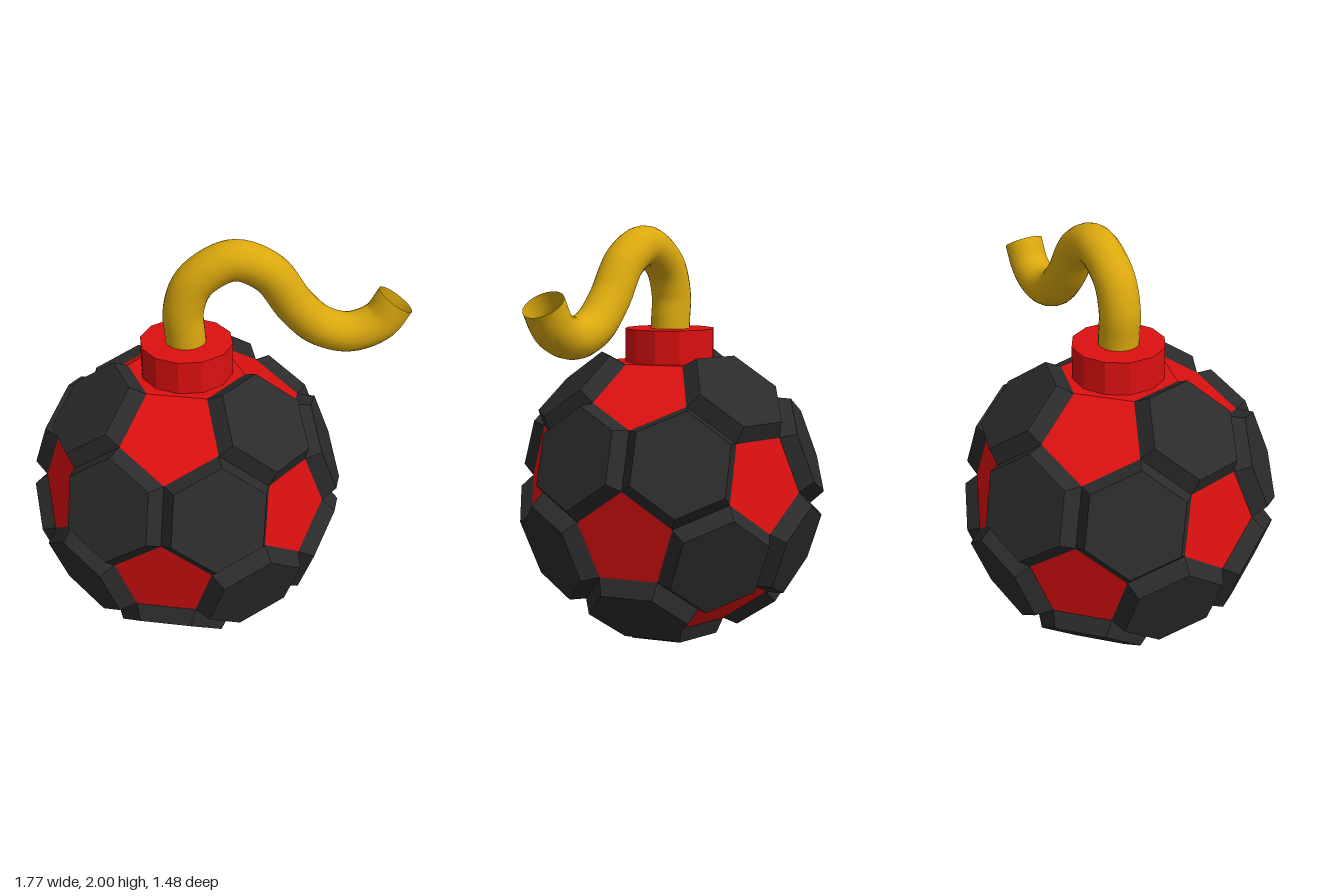
import * as THREE from 'three';

const EDGE = 0.28;          // edge of the truncated icosahedron
const RAISE = 0.08;         // how far the armour plates stand out
const INSET = 0.875;        // outer plate face relative to its base
const CENTER = new THREE.Vector3(-0.15, 0.715, 0);

const red = new THREE.MeshStandardMaterial({ color: 0xdd1010, flatShading: true });
const black = new THREE.MeshStandardMaterial({ color: 0x2b2b2b, flatShading: true });
const yellow = new THREE.MeshStandardMaterial({ color: 0xdaa80e, side: THREE.DoubleSide });

// Icosahedron corners with one face on top and one corner of it facing front
function icosahedronCorners() {
  const radius = 3 * EDGE * 0.95106;
  const points = [];
  for (let i = 0; i < 3; i++) {
    const turn = (i * 2 * Math.PI) / 3;
    const upper = new THREE.Vector3().setFromSphericalCoords(radius, THREE.MathUtils.degToRad(37.377), turn);
    const middle = new THREE.Vector3().setFromSphericalCoords(radius, THREE.MathUtils.degToRad(79.188), turn + Math.PI / 3);
    points.push(upper, middle, upper.clone().negate(), middle.clone().negate());
  }
  return points;
}

const centroid = (ring) => ring.reduce((sum, p) => sum.add(p), new THREE.Vector3()).divideScalar(ring.length);

// Order the corners counter-clockwise as seen from outside
function sortRing(ring) {
  const mid = centroid(ring);
  const normal = mid.clone().normalize();
  const u = ring[0].clone().sub(mid).normalize();
  const v = normal.clone().cross(u);
  const angle = (p) => {
    const d = p.clone().sub(mid);
    return Math.atan2(d.dot(v), d.dot(u));
  };
  return ring.map((p) => [angle(p), p]).sort((a, b) => a[0] - b[0]).map((e) => e[1]);
}

// Flat polygon, with sloping walls down to a base ring if one is given
function panelGeometry(face, base) {
  const positions = [];
  const triangle = (...corners) => corners.forEach((p) => positions.push(p.x, p.y, p.z));
  for (let i = 1; i < face.length - 1; i++) triangle(face[0], face[i], face[i + 1]);
  if (base) {
    base.forEach((p, i) => {
      const j = (i + 1) % base.length;
      triangle(p, base[j], face[j]);
      triangle(p, face[j], face[i]);
    });
  }
  const geometry = new THREE.BufferGeometry();
  geometry.setAttribute('position', new THREE.Float32BufferAttribute(positions, 3));
  geometry.computeVertexNormals();
  return geometry;
}

function addMesh(parent, name, geometry, material) {
  const mesh = new THREE.Mesh(geometry, material);
  mesh.name = name;
  parent.add(mesh);
  return mesh;
}

function createBall() {
  const ball = new THREE.Group();
  ball.name = 'ball';
  ball.position.copy(CENTER);
  const corners = icosahedronCorners();
  const near = (a, b) => a !== b && a.distanceTo(b) < 3.3 * EDGE;

  // Red pentagons, one at each cut-off corner
  for (const a of corners) {
    const ring = corners.filter((b) => near(a, b)).map((b) => a.clone().lerp(b, 1 / 3));
    addMesh(ball, 'pentagonPanel', panelGeometry(sortRing(ring)), red);
  }

  // Hexagons: raised black plates, except the flat red one under the cap
  corners.forEach((a, i) => corners.forEach((b, j) => corners.forEach((c, k) => {
    if (!(i < j && j < k && near(a, b) && near(b, c) && near(a, c))) return;
    const sides = [[a, b], [b, c], [c, a]];
    const base = sortRing(sides.flatMap(([p, q]) => [p.clone().lerp(q, 1 / 3), p.clone().lerp(q, 2 / 3)]));
    const mid = centroid(base);
    const normal = mid.clone().normalize();
    if (normal.y > 0.99) {
      addMesh(ball, 'topPanel', panelGeometry(base), red);
      return;
    }
    const face = base.map((p) => mid.clone().lerp(p, INSET).addScaledVector(normal, RAISE));
    addMesh(ball, 'hexagonPlate', panelGeometry(face, base), black);
  })));
  return ball;
}

function createFuse() {
  // Centre line of the S-curve as [x, y]; it swings back as it goes sideways
  const path = [
    [-0.145, 1.45], [-0.152, 1.55], [-0.158, 1.67], [-0.105, 1.81], [0.06, 1.905], [0.22, 1.835],
    [0.345, 1.66], [0.46, 1.55], [0.6, 1.51], [0.73, 1.56], [0.798, 1.665],
  ].map(([x, y]) => new THREE.Vector3(x, y, -(x - CENTER.x) * 0.272));
  return new THREE.TubeGeometry(new THREE.CatmullRomCurve3(path), 64, 0.095, 20, false);
}

export function createModel() {
  const model = new THREE.Group();
  model.name = 'bomb';
  model.add(createBall());

  // Collar holding the fuse
  const cap = addMesh(model, 'cap', new THREE.CylinderGeometry(0.219, 0.219, 0.165, 12), red);
  cap.position.set(CENTER.x + 0.004, 1.4275, 0);

  // Open-ended fuse
  addMesh(model, 'fuse', createFuse(), yellow);
  return model;
}
